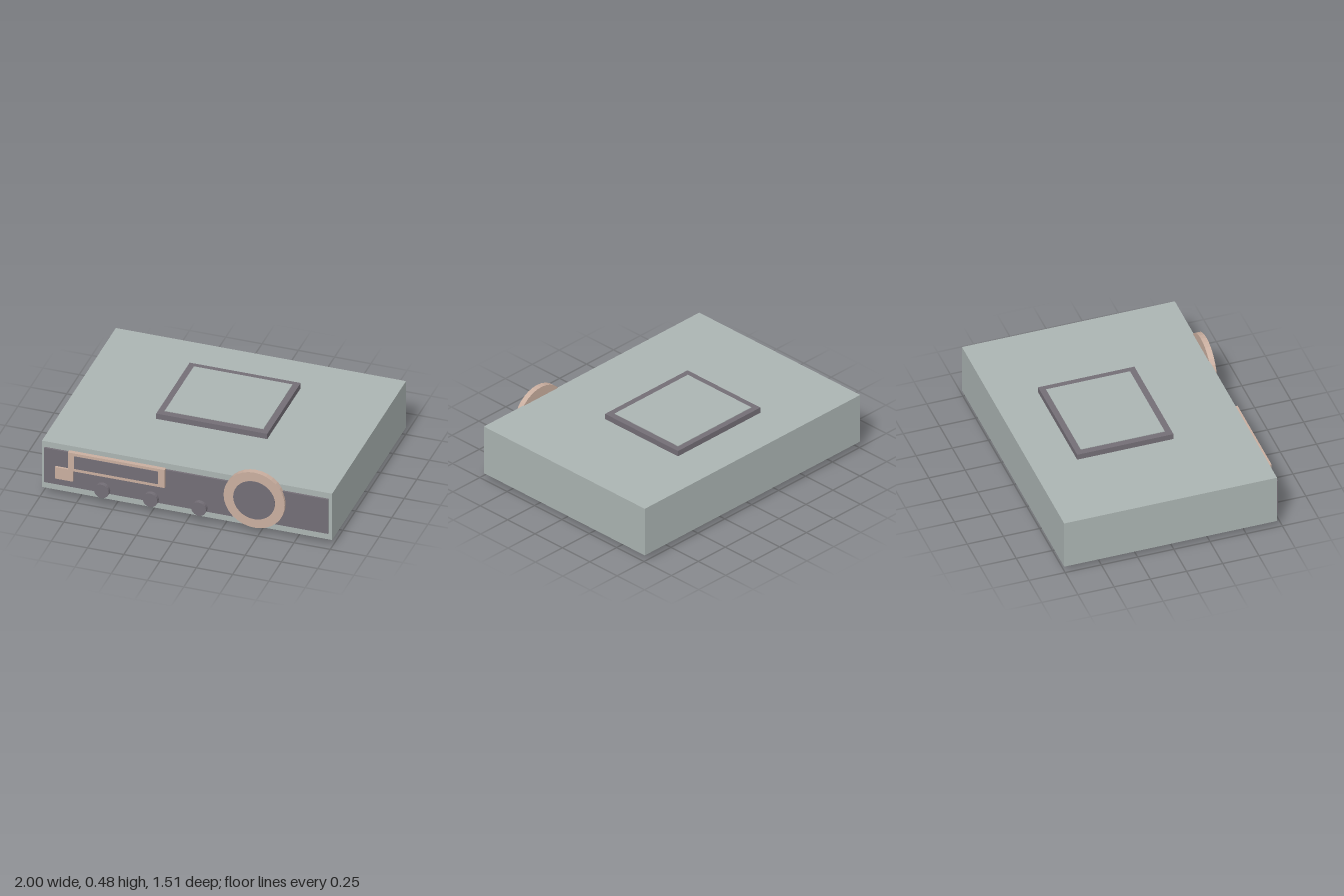
import * as THREE from 'three';

const mat = (name, color) => {
  const m = new THREE.MeshStandardMaterial({ color });
  m.name = name;
  return m;
};

export function createModel() {
  const grey = mat('paleGrey', 0xabb4b2);
  const dark = mat('darkGrey', 0x736e76);
  const tan = mat('tan', 0xc9ae9f);
  const model = new THREE.Group();
  model.name = 'deskUnit';

  // Box given by its minimum and maximum on each axis
  const box = (name, material, [x0, x1], [y0, y1], [z0, z1]) => {
    const mesh = new THREE.Mesh(new THREE.BoxGeometry(x1 - x0, y1 - y0, z1 - z0), material);
    mesh.position.set((x0 + x1) / 2, (y0 + y1) / 2, (z0 + z1) / 2);
    mesh.name = name;
    model.add(mesh);
  };

  // Round part facing the front
  const disc = (name, material, x, y, r, [z0, z1], sides) => {
    const geo = new THREE.CylinderGeometry(r, r, z1 - z0, sides).toNonIndexed();
    geo.rotateX(Math.PI / 2);
    geo.computeVertexNormals();
    const mesh = new THREE.Mesh(geo, material);
    mesh.position.set(x, y, (z0 + z1) / 2);
    mesh.name = name;
    model.add(mesh);
  };

  // Case and front panel
  box('case', grey, [-1, 1], [0.05, 0.405], [-0.757, 0.713]);
  box('frontPanel', dark, [-0.98, 0.975], [0.1, 0.362], [0.7, 0.727]);

  // Raised lid on top with a pale inset plate
  box('topFrame', dark, [-0.385, 0.38], [0.4, 0.445], [-0.45, 0.215]);
  box('topPlate', grey, [-0.342, 0.338], [0.441, 0.449], [-0.41, 0.17]);

  // Display with its window, and the small tab beside it
  box('displayFrame', tan, [-0.812, -0.145], [0.232, 0.37], [0.71, 0.742]);
  box('displayWindow', dark, [-0.767, -0.19], [0.255, 0.35], [0.738, 0.746]);
  box('sideTab', tan, [-0.9, -0.777], [0.152, 0.24], [0.71, 0.742]);

  // Large dial and its dark face
  disc('dialRing', tan, 0.474, 0.268, 0.211, [0.708, 0.746], 32);
  disc('dialFace', dark, 0.474, 0.268, 0.144, [0.742, 0.749], 32);

  // Row of knobs
  for (const x of [-0.575, -0.24, 0.095]) {
    disc('knob', dark, x, 0.128, 0.051, [0.715, 0.757], 20);
  }

  // Feet
  for (const x of [-0.812, 0.81]) {
    for (const z of [0.553, -0.59]) {
      box('foot', dark, [x - 0.07, x + 0.07], [0, 0.055], [z - 0.07, z + 0.07]);
    }
  }
  return model;
}
